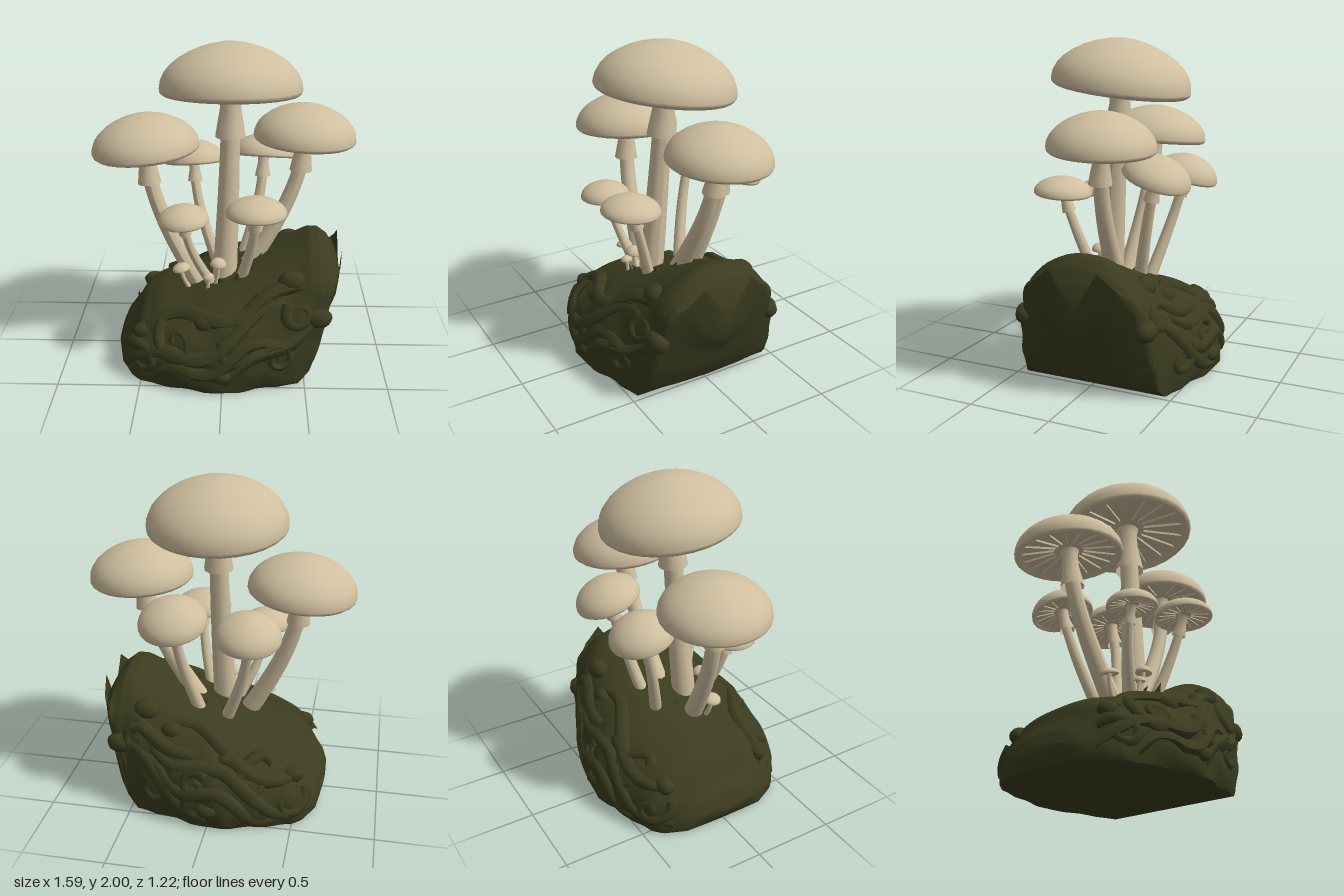
import * as THREE from 'three';
import { mergeGeometries, toCreasedNormals } from 'three/addons/utils/BufferGeometryUtils.js';

const V = (x, y, z) => new THREE.Vector3(x, y, z);
const lerp = THREE.MathUtils.lerp;

// Mound stations along x: [x, top, bottom, half width]
const STATIONS = [
  [-0.66, 0.13, 0.06, 0.15], [-0.63, 0.2, 0.01, 0.28], [-0.56, 0.28, 0, 0.39], [-0.5, 0.38, 0, 0.45],
  [-0.4, 0.44, 0, 0.5], [-0.2, 0.5, 0, 0.57], [0, 0.58, 0, 0.59], [0.2, 0.65, 0, 0.55],
  [0.46, 0.77, 0, 0.47], [0.53, 0.81, 0.04, 0.44], [0.59, 0.81, 0.14, 0.41], [0.65, 0.76, 0.29, 0.35],
  [0.7, 0.67, 0.37, 0.26], [0.72, 0.6, 0.43, 0.15]];

// Half cross-section of the mound: an arch over a short foot, [width share, height share]
const HALF = [];
for (let i = 0; i <= 12; i++) {
  const a = (1 - i / 12) * Math.PI / 2;
  HALF.push([Math.cos(a) ** 0.88, 0.2 + 0.8 * Math.sin(a) ** 0.88]);
}
HALF.push([0.99, 0.06], [0.96, 0], [0.5, 0]);

function stationAt(x) {
  let i = 0;
  while (i < STATIONS.length - 2 && STATIONS[i + 1][0] < x) i++;
  const a = STATIONS[i], b = STATIONS[i + 1];
  const f = THREE.MathUtils.clamp((x - a[0]) / (b[0] - a[0]), 0, 1);
  return a.map((n, k) => lerp(n, b[k], f));
}

// Point on the mound's side wall at a given x and y
function onWall(x, y, side, sink) {
  const [sx, top, low, w] = stationAt(x);
  const v = THREE.MathUtils.clamp((y - low) / (top - low), 0.08, 0.93);
  let i = 0;
  while (HALF[i + 1][1] > v) i++;
  const a = HALF[i], b = HALF[i + 1];
  const u = lerp(a[0], b[0], (a[1] - v) / (a[1] - b[1]));
  return V(sx, low + v * (top - low), side * (u * w - sink));
}

function moundGeometry() {
  const loop = [...HALF, [0, 0], ...HALF.slice(1).reverse().map(([u, v]) => [-u, v])];
  const n = loop.length, pos = [], index = [], steps = 4;
  const rings = (STATIONS.length - 1) * steps + 1;
  for (let i = 0; i < rings; i++) {
    const j = Math.min(Math.floor(i / steps), STATIONS.length - 2), f = i / steps - j;
    const [x, top, low, w] = STATIONS[j].map((a, k) => lerp(a, STATIONS[j + 1][k], f));
    for (const [u, v] of loop) {
      // the overhanging end rises toward its sides, forming a keel
      const y = low + v * (top - low) + 0.8 * low * u * u * (1 - v);
      const bump = 1 + 0.035 * Math.sin(21 * x + 11 * y + 3 * u) * Math.sin(19 * y - 8 * x);
      pos.push(x, y, u * w * bump);
    }
  }
  for (let i = 0; i < rings - 1; i++) for (let k = 0; k < n; k++) {
    const a = i * n + k, d = i * n + (k + 1) % n;
    index.push(a, d, d + n, a, d + n, a + n);
  }
  // close both ends
  const last = (rings - 1) * n, c = rings * n;
  pos.push(-0.665, 0.095, 0, 0.725, 0.52, 0);
  for (let k = 0; k < n; k++) {
    const k2 = (k + 1) % n;
    index.push(c, k2, k, c + 1, last + k, last + k2);
  }
  const g = new THREE.BufferGeometry();
  g.setAttribute('position', new THREE.Float32BufferAttribute(pos, 3));
  g.setIndex(index);
  return toCreasedNormals(g, 0.9);
}

// Tube whose radius follows a function of its length
function taperedTube(points, radius, segs, sides) {
  const curve = new THREE.CatmullRomCurve3(points);
  const g = new THREE.TubeGeometry(curve, segs, 1, sides);
  const p = g.attributes.position, q = V();
  for (let i = 0; i < p.count; i++) {
    const t = Math.floor(i / (sides + 1)) / segs, c = curve.getPointAt(t);
    q.fromBufferAttribute(p, i).sub(c).multiplyScalar(radius(t)).add(c);
    p.setXYZ(i, q.x, q.y, q.z);
  }
  g.computeVertexNormals();
  return g;
}

// Shallow radial blades under a cap of unit radius
function gillGeometry(count) {
  const blades = [];
  for (let i = 0; i < count; i++) {
    const g = new THREE.PlaneGeometry(0.6, 0.05).translate(0.57, 0, 0);
    const p = g.attributes.position;
    for (let j = 0; j < 4; j++) p.setY(j, p.getY(j) + 0.11 - 0.12 * p.getX(j));
    blades.push(g.rotateY(i / count * Math.PI * 2));
  }
  return mergeGeometries(blades);
}

// Cap of unit radius: shallow underside, rolled rim, slightly pointed dome
function capGeometry(height) {
  const profile = [[0, 0.12], [0.4, 0.08], [0.84, 0.02], [0.9, -0.05], [0.95, -0.075], [0.99, -0.04]];
  for (let i = 0; i <= 9; i++) {
    const a = i / 9 * Math.PI / 2;
    profile.push([i < 9 ? Math.cos(a) ** 1.18 : 0, height * Math.sin(a)]);
  }
  return new THREE.LatheGeometry(profile.map(p => new THREE.Vector2(...p)), 28);
}

// [cap x, rim y, z, radius, dome height, tilt about x, tilt about z, stem foot x, foot z]
const MUSHROOMS = [
  [0.04, 1.725, 0.015, 0.42, 0.275, -0.13, 0, 0.005, 0.1],
  [-0.47, 1.355, 0, 0.325, 0.21, -0.04, 0.09, -0.13, 0.07],
  [0.485, 1.41, -0.07, 0.31, 0.205, -0.05, -0.05, 0.13, 0],
  [-0.2, 1.165, -0.315, 0.195, 0.135, -0.25, 0.06, -0.03, -0.13],
  [0.245, 1.215, -0.3, 0.205, 0.135, -0.32, -0.05, 0.11, -0.14],
  [-0.23, 1.005, 0.285, 0.152, 0.095, 0, 0.05, -0.05, 0.14],
  [0.195, 1.075, 0.335, 0.178, 0.1, -0.07, 0, 0.1, 0.16],
  [-0.26, 0.615, 0.14, 0.055, 0.035, 0, 0.2, -0.18, 0.12],
  [-0.03, 0.675, 0.2, 0.05, 0.045, 0, -0.1, -0.06, 0.18],
  [-0.09, 0.6, 0.22, 0.035, 0.03, 0.1, 0.1, -0.1, 0.2]];

// Root waves across the side walls: [start x, end x, start y, end y, wave height, wave turns]
const ROOTS = [
  [-0.58, 0.42, 0.08, 0.5, 0.06, 1.5], [-0.5, 0.3, 0.28, 0.56, 0.05, 1], [-0.42, 0.52, 0.06, 0.38, 0.05, 2],
  [0, 0.58, 0.06, 0.45, 0.05, 1], [0.1, 0.5, 0.42, 0.6, 0.05, 0.5]];
// Curled root tips: [x, y, radius, direction]
const CURLS = [[-0.27, 0.29, 0.12, 1], [0.33, 0.2, 0.1, -1], [0.46, 0.46, 0.09, 1], [-0.48, 0.15, 0.09, -1], [0.08, 0.27, 0.09, 1]];
// Knobs on the shoulders: [x, y, radius]
const KNOBS = [[0.42, 0.62, 0.075], [0.25, 0.53, 0.06], [-0.48, 0.29, 0.06], [0.57, 0.42, 0.075], [-0.1, 0.4, 0.06], [0, 0.12, 0.06]];

export function createModel() {
  const model = new THREE.Group();
  const cream = new THREE.MeshStandardMaterial({ color: 0xcfbf9f, side: THREE.DoubleSide });
  cream.name = 'cream';
  const moss = new THREE.MeshStandardMaterial({ color: 0x3b3c1f });
  moss.name = 'mossGreen';
  const add = (parent, geo, mat, name) => {
    const m = new THREE.Mesh(geo, mat);
    m.name = name;
    parent.add(m);
    return m;
  };

  add(model, moundGeometry(), moss, 'mound');

  // Half-sunk roots, curls and knobs on both side walls
  for (const side of [1, -1]) {
    for (const [x0, x1, y0, y1, wave, turns] of ROOTS) {
      const pts = [];
      for (let k = 0; k <= 10; k++) {
        const t = k / 10;
        pts.push(onWall(lerp(x0, x1, t), lerp(y0, y1, t) + side * wave * Math.sin(t * turns * Math.PI * 2), side, 0.028));
      }
      add(model, taperedTube(pts, t => 0.02 + 0.035 * Math.sin(Math.PI * (0.12 + 0.8 * t)), 28, 8), moss, 'root');
    }
    for (const [x, y, r, dir] of CURLS) {
      const pts = [];
      for (let k = 0; k <= 12; k++) {
        const a = dir * side * k * 0.62 + 2.5, d = r * (1 - k / 14);
        pts.push(onWall(x + d * Math.cos(a), y + d * Math.sin(a), side, 0.015));
      }
      add(model, taperedTube(pts, t => 0.042 - 0.02 * t, 36, 8), moss, 'curl');
    }
    for (const [x, y, r] of KNOBS) {
      const knob = add(model, new THREE.SphereGeometry(r, 10, 8), moss, 'knob');
      knob.position.copy(onWall(x, y, side, 0.03));
      knob.scale.set(1.2, 0.9, 0.9);
    }
  }

  // Mossy tufts around the stem bases
  for (let i = 0; i < 9; i++) {
    const a = i * 0.7, x = 0.06 + 0.16 * Math.cos(a);
    const tuft = add(model, new THREE.ConeGeometry(0.025, 0.08, 5), moss, 'tuft');
    tuft.position.set(x, stationAt(x)[1] - 0.005, 0.05 + 0.17 * Math.sin(a));
    tuft.rotation.set(0.5 * Math.sin(a), a, -0.5 * Math.cos(a));
  }

  const gills = gillGeometry(18);
  for (const [x, y, z, r, h, rx, rz, footX, footZ] of MUSHROOMS) {
    const mushroom = new THREE.Group();
    mushroom.name = 'mushroom';
    model.add(mushroom);
    // Cap and gills
    const head = new THREE.Group();
    head.name = 'head';
    head.position.set(x, y, z);
    head.rotation.set(rx, 0, rz);
    head.scale.setScalar(r);
    mushroom.add(head);
    add(head, capGeometry(h / r), cream, 'cap');
    if (r > 0.1) add(head, gills, cream, 'gills');
    // Stem leaning out from its foot and straightening upward
    const footY = stationAt(footX)[1] - 0.08, pts = [];
    for (let k = 0; k <= 6; k++) {
      const t = k / 6, lean = Math.sin(t * Math.PI / 2);
      pts.push(V(lerp(footX, x, lean), lerp(footY, y + 0.06 * r, t), lerp(footZ, z, t)));
    }
    const thick = 0.008 + 0.163 * r, thin = thick * 0.76;
    add(mushroom, taperedTube(pts, t => lerp(thick, thin, Math.min(1, t * 1.4)), 20, 12), cream, 'stem');
    // Flared skirt hanging below the cap
    if (r > 0.1) {
      const drop = 0.74 * r;
      const outline = [[1.55, -1], [1.35, -0.75], [1.08, -0.45], [1.08, -0.12], [1.3, 0]]
        .map(([a, b]) => new THREE.Vector2(a * thin, b * drop));
      const skirt = add(mushroom, new THREE.LatheGeometry(outline, 12), cream, 'skirt');
      skirt.position.copy(pts[6]);
      skirt.quaternion.setFromUnitVectors(V(0, 1, 0), pts[6].clone().sub(pts[5]).normalize());
    }
  }
  return model;
}
